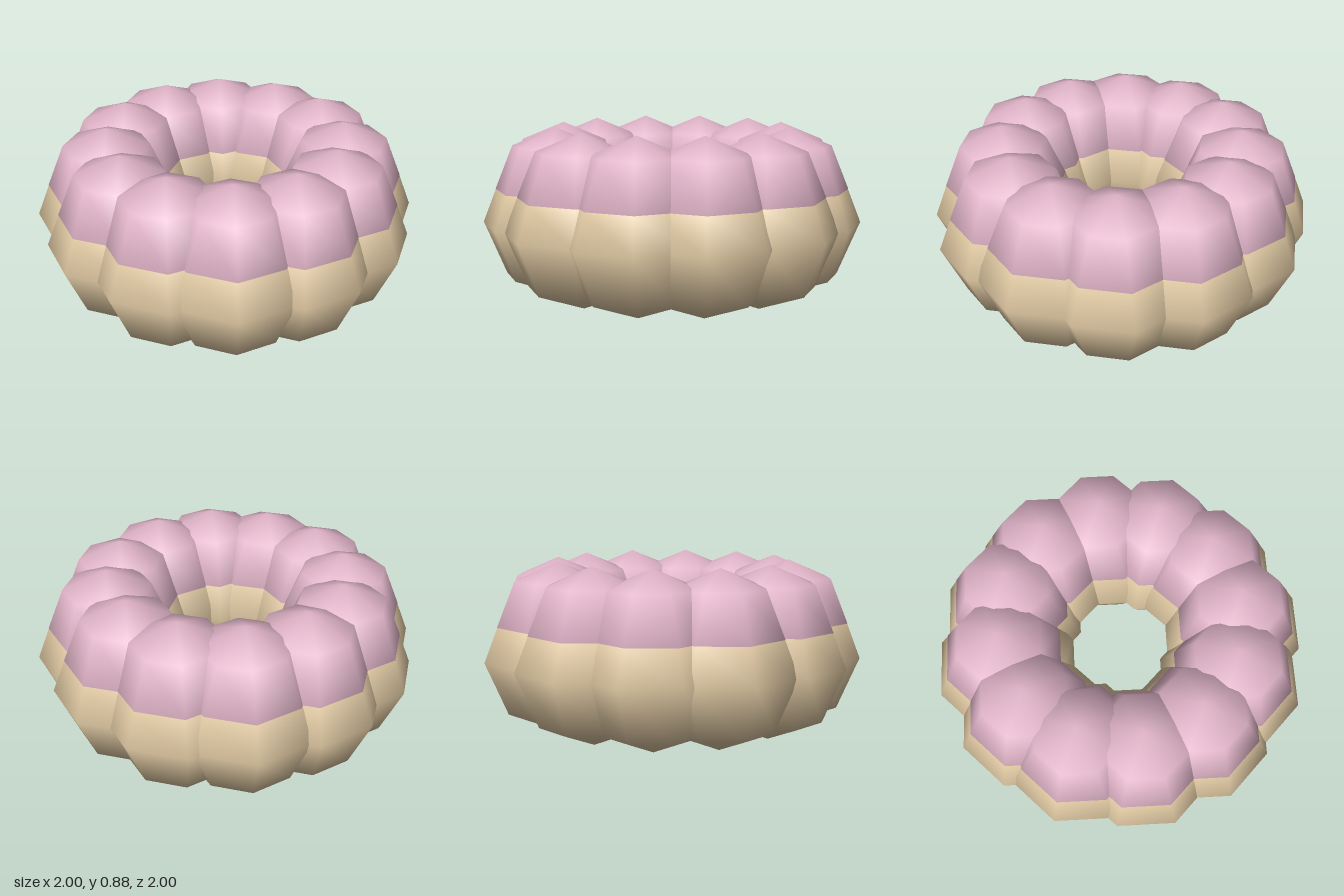
import * as THREE from 'three';

const LOBES = 12;
const RING_RADIUS = 0.614;
const BODY_RADIUS = 0.386;
const BODY_Y = 0.386;
const CAP_RADIUS = 0.318;
const CAP_Y = 0.56;

// Lower dough ball: eight-sided, cut off flat where the glaze begins
function doughGeometry() {
  const d = BODY_RADIUS * Math.SQRT1_2;
  const geo = new THREE.LatheGeometry([
    new THREE.Vector2(0, -BODY_RADIUS),
    new THREE.Vector2(d, -d),
    new THREE.Vector2(BODY_RADIUS, 0),
    new THREE.Vector2(CAP_RADIUS - 0.002, CAP_Y - BODY_Y),
  ], 8);
  // Round, ball-like normals
  const pos = geo.attributes.position;
  const v = new THREE.Vector3();
  for (let i = 0; i < pos.count; i++) {
    v.fromBufferAttribute(pos, i).normalize();
    geo.attributes.normal.setXYZ(i, v.x, v.y, v.z);
  }
  return geo;
}

export function createModel() {
  const model = new THREE.Group();
  model.name = 'ringDoughnut';

  const dough = new THREE.MeshStandardMaterial({ color: 0xdfc8a2 });
  dough.name = 'dough';
  const glaze = new THREE.MeshStandardMaterial({ color: 0xe0b4c8 });
  glaze.name = 'pinkGlaze';

  const doughGeo = doughGeometry();
  const glazeGeo = new THREE.SphereGeometry(CAP_RADIUS, 8, 2, 0, Math.PI * 2, 0, Math.PI / 2);

  // Ring of overlapping balls, all facing the same way
  for (let i = 0; i < LOBES; i++) {
    const a = (i / LOBES) * Math.PI * 2;
    const lobe = new THREE.Group();
    lobe.name = `lobe${i + 1}`;
    lobe.position.set(Math.cos(a) * RING_RADIUS, 0, Math.sin(a) * RING_RADIUS);

    const ball = new THREE.Mesh(doughGeo, dough);
    ball.name = 'doughBall';
    ball.position.y = BODY_Y;

    const cap = new THREE.Mesh(glazeGeo, glaze);
    cap.name = 'glazeCap';
    cap.position.y = CAP_Y;

    lobe.add(ball, cap);
    model.add(lobe);
  }
  return model;
}
